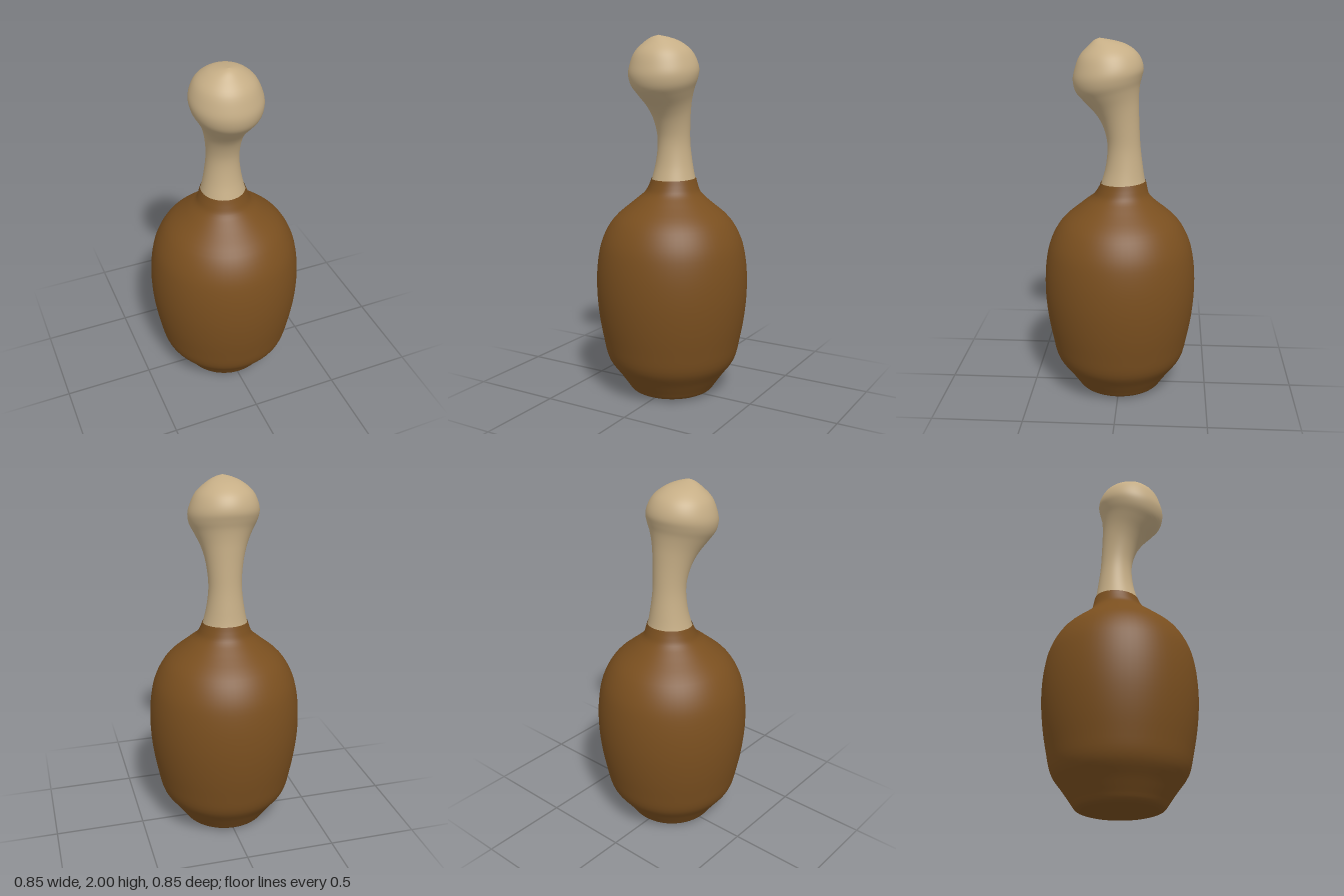
import * as THREE from 'three';

const SEGMENTS = 64;

// Smooth curve through [a, b] pairs, stored as x = a, y = b
const curve = (pairs) =>
  new THREE.CatmullRomCurve3(pairs.map(([a, b]) => new THREE.Vector3(a, b, 0)), false, 'centripetal');

// Round body: profile of [radius, height], collar leaning slightly back
function bodyGeometry() {
  const side = curve([
    [0.2, 0.008], [0.232, 0.02], [0.258, 0.055], [0.3, 0.115], [0.36, 0.2], [0.39, 0.32],
    [0.415, 0.47], [0.425, 0.62], [0.416, 0.77], [0.388, 0.89], [0.325, 1.0],
    [0.21, 1.1], [0.155, 1.15], [0.136, 1.19], [0.124, 1.225],
  ]).getPoints(56);
  const profile = [new THREE.Vector2(0, 0), ...side.map((p) => new THREE.Vector2(p.x, p.y))];
  const geometry = new THREE.LatheGeometry(profile, SEGMENTS);
  const pos = geometry.attributes.position;
  for (let i = 0; i < pos.count; i++) {
    const k = THREE.MathUtils.smoothstep(pos.getY(i), 1.1, 1.225);
    const z = pos.getZ(i);
    pos.setZ(i, z - 0.018 * k);
    pos.setY(i, pos.getY(i) - 0.05 * k * z);
  }
  geometry.computeBoundingSphere();
  return geometry;
}

// Bent neck and knob: tilted rings spanned between a front and a back outline of [z, y]
function neckGeometry() {
  const front = curve([
    [0.108, 1.2], [0.102, 1.22], [0.08, 1.3], [0.068, 1.4], [0.073, 1.47], [0.1, 1.55], [0.14, 1.61],
    [0.2, 1.672], [0.24, 1.72], [0.254, 1.78], [0.243, 1.84], [0.217, 1.907],
    [0.164, 1.965], [0.135, 1.99], [0.11, 2],
  ]);
  const back = curve([
    [-0.144, 1.215], [-0.138, 1.235], [-0.125, 1.32], [-0.113, 1.42], [-0.107, 1.52], [-0.103, 1.62], [-0.102, 1.69],
    [-0.107, 1.755], [-0.118, 1.8], [-0.126, 1.84], [-0.116, 1.885], [-0.087, 1.93],
    [-0.03, 1.968], [0.04, 1.988], [0.11, 2],
  ]);
  const rings = 56;
  const positions = [];
  const index = [];
  for (let i = 0; i <= rings; i++) {
    const f = front.getPoint(i / rings);
    const b = back.getPoint(i / rings);
    const mid = f.clone().add(b).multiplyScalar(0.5);
    const half = f.clone().sub(b).multiplyScalar(0.5);
    const radius = half.length();
    const shift = -0.02 * THREE.MathUtils.smoothstep(mid.y, 1.45, 2);
    for (let j = 0; j < SEGMENTS; j++) {
      const a = (j / SEGMENTS) * Math.PI * 2;
      positions.push(shift + radius * Math.cos(a), mid.y + half.y * Math.sin(a), mid.x + half.x * Math.sin(a));
      if (i === rings) continue;
      const p = i * SEGMENTS + j;
      const q = i * SEGMENTS + ((j + 1) % SEGMENTS);
      index.push(p, p + SEGMENTS, q + SEGMENTS, p, q + SEGMENTS, q);
    }
  }
  const geometry = new THREE.BufferGeometry();
  geometry.setAttribute('position', new THREE.Float32BufferAttribute(positions, 3));
  geometry.setIndex(index);
  geometry.computeVertexNormals();
  return geometry;
}

export function createModel() {
  const group = new THREE.Group();
  const add = (name, geometry, color) => {
    const material = new THREE.MeshStandardMaterial({ color, side: THREE.DoubleSide });
    const mesh = new THREE.Mesh(geometry, material);
    mesh.name = name;
    group.add(mesh);
  };
  add('body', bodyGeometry(), 0x7a4f1f);
  add('neckAndKnob', neckGeometry(), 0xc6ae86);
  return group;
}
